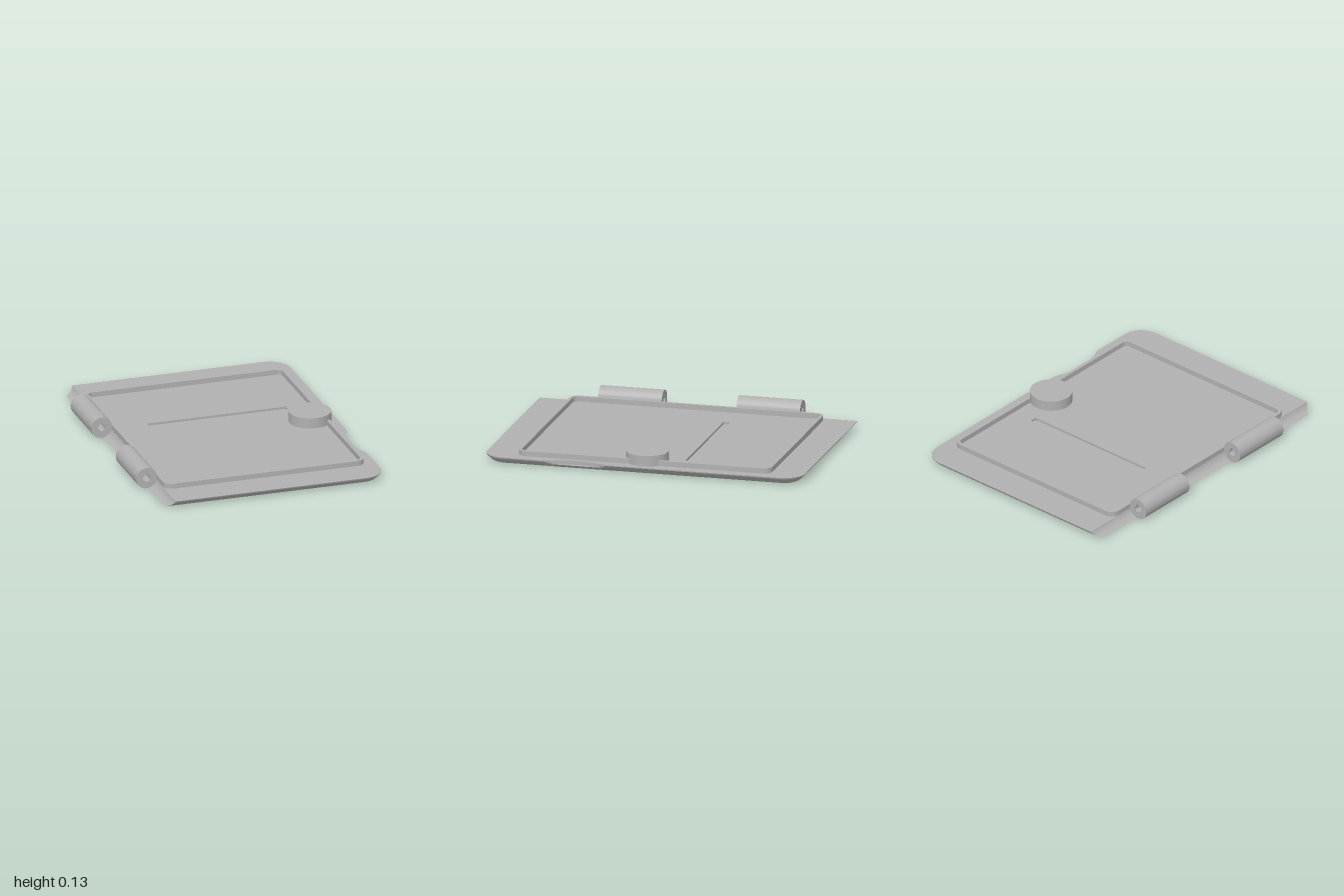
import * as THREE from 'three';
import { mergeGeometries, toCreasedNormals } from 'three/addons/utils/BufferGeometryUtils.js';

const TOP = 0.045, HINGE = { x: -0.675, y: 0.066, r: 0.066 };
const ring = (pts, y) => pts.map(([x, z]) => new THREE.Vector3(x, y, z));

// Wall between two matching closed loops; swap the loops to face inwards.
function band(low, up) {
  const v = [];
  low.forEach((a, i) => {
    const j = (i + 1) % low.length;
    for (const p of [a, up[i], up[j], a, up[j], low[j]]) v.push(p.x, p.y, p.z);
  });
  const g = new THREE.BufferGeometry();
  g.setAttribute('position', new THREE.Float32BufferAttribute(v, 3));
  g.computeVertexNormals();
  return g;
}

// Flat face at height y, facing up or down, with optional holes.
function cap(pts, y, up, holes = []) {
  const s = up ? -1 : 1;
  const to2 = (l) => l.map(([x, z]) => new THREE.Vector2(x, s * z));
  const shape = new THREE.Shape(to2(pts));
  holes.forEach((h) => shape.holes.push(new THREE.Path(to2(h))));
  const g = new THREE.ShapeGeometry(shape).rotateX(s * Math.PI / 2).translate(0, y, 0).toNonIndexed();
  g.deleteAttribute('uv');
  return g;
}

// Walls and floor of a groove sunk from height y0 to y1.
function recess(pts, y0, y1) {
  const a = ring(pts, y0), b = ring(pts, y1);
  return [y1 < y0 ? band(a, b) : band(b, a), cap(pts, y1, y1 < y0)];
}

// Plate outline at one height: inset rounds the lower edge, the left side hugs the hinge.
function outline(y, inset, notched) {
  const left = HINGE.x + Math.sqrt(0.067 ** 2 - (y - HINGE.y) ** 2);
  const r = 0.13 - inset, right = 0.74 - inset, pts = [[left, inset - 1]];
  const corner = (z, from) => {
    for (let i = 0; i <= 12; i++) {
      const a = from + (i / 12) * Math.PI / 2;
      pts.push([0.61 + r * Math.cos(a), z + r * Math.sin(a)]);
    }
  };
  corner(-0.87, -Math.PI / 2);
  for (let i = 0; i <= 32; i++) {
    const z = 0.22 + 0.39 * i / 32;
    const cut = 1.143 - Math.sqrt(0.448 ** 2 - (z - 0.415) ** 2);
    pts.push([notched ? Math.min(right, cut) : right, z]);
  }
  corner(0.87, 0);
  pts.push([left, 1 - inset]);
  return pts;
}

const rect = (x0, x1, z0, z1) => [[x0, z0], [x1, z0], [x1, z1], [x0, z1]];

// Concentric groove outlines around the knob, kept inside the plate's underside.
function arcGrooves() {
  const cx = 0.58, out = [];
  const inside = (x, z) => x > -0.03 && Math.hypot(Math.max(0, x - 0.6), Math.max(0, z - 0.87)) < 0.06;
  const strip = (r, a0, a1) => {
    const inner = [], outer = [], n = 40;
    for (let i = 0; i <= n; i++) {
      const a = a0 + (a1 - a0) * i / n, c = Math.cos(a), s = Math.sin(a);
      outer.push([cx + (r + 0.015) * c, (r + 0.015) * s]);
      inner.unshift([cx + (r - 0.015) * c, (r - 0.015) * s]);
    }
    out.push([...outer, ...inner]);
  };
  for (let k = 0; k < 10; k++) {
    const r = 0.14 + 0.1 * k, ok = [];
    for (let i = 0; i <= 720; i++) {
      const a = Math.PI * i / 720;
      if (inside(cx + r * Math.cos(a), r * Math.sin(a))) ok.push(a);
    }
    const a0 = ok[0], a1 = ok[ok.length - 1];
    if (a1 > 3.14) strip(r, a0, 2 * Math.PI - a0);
    else {
      strip(r, a0, a1);
      strip(r, 2 * Math.PI - a1, 2 * Math.PI - a0);
    }
  }
  return out;
}

function roundedRect(C, x0, x1, z, r) {
  const s = new C();
  s.absarc(x1 - r, z - r, r, 0, Math.PI / 2);
  s.absarc(x0 + r, z - r, r, Math.PI / 2, Math.PI);
  s.absarc(x0 + r, r - z, r, Math.PI, 1.5 * Math.PI);
  s.absarc(x1 - r, r - z, r, 1.5 * Math.PI, 2 * Math.PI);
  s.closePath();
  return s;
}

export function createModel() {
  const group = new THREE.Group();
  const grey = new THREE.MeshStandardMaterial({ color: 0xb0b0b0 });
  grey.name = 'grey plastic';
  const add = (name, geo) => {
    const m = new THREE.Mesh(geo, grey);
    m.name = name;
    group.add(m);
    return m;
  };

  // Plate with rounded underside edge and a finger notch
  const rows = [[0, 0.05], [0.006, 0.037], [0.013, 0.027], [0.02, 0.02], [0.02, 0.02, true],
    [0.03, 0.009, true], [0.039, 0.001, true], [TOP, 0, true]];
  const loops = rows.map(([y, d, n]) => ring(outline(y, d, n), y));
  const sides = loops.slice(1).map((l, i) => band(loops[i], l));
  const slot = rect(-0.38, 0.51, -0.265, -0.22);
  const grooves = [...arcGrooves(), rect(-0.62, -0.07, -0.22, -0.19)];
  add('plateEdge', toCreasedNormals(mergeGeometries(sides), 0.6));
  add('plateTop', cap(outline(TOP, 0, true), TOP, true, [slot]));
  add('plateUnderside', cap(outline(0, 0.05), 0, false, grooves));
  add('topSlot', mergeGeometries(recess(slot, TOP, 0.03)));
  add('undersideGrooves', mergeGeometries(grooves.flatMap((g) => recess(g, 0, 0.014))));

  // Raised rim
  const rimShape = roundedRect(THREE.Shape, -0.61, 0.672, 0.797, 0.055);
  rimShape.holes.push(roundedRect(THREE.Path, -0.59, 0.652, 0.777, 0.035));
  const rim = new THREE.ExtrudeGeometry(rimShape, { depth: 0.034, bevelEnabled: false, curveSegments: 10 });
  add('rim', toCreasedNormals(rim.rotateX(-Math.PI / 2).translate(0, 0.043, 0), 0.6));

  // Round knob
  const knob = add('knob', new THREE.CylinderGeometry(0.13, 0.13, 0.07, 64));
  knob.position.set(0.578, 0.076, 0);

  // Two hinge barrels with teardrop pin holes
  const barrel = new THREE.Shape().absarc(0, 0, HINGE.r, 0, Math.PI * 2);
  const pin = new THREE.Path().absarc(0, 0, 0.023, Math.PI * 0.8, Math.PI * 2.2);
  pin.lineTo(0, 0.034);
  pin.closePath();
  barrel.holes.push(pin);
  const hinge = toCreasedNormals(
    new THREE.ExtrudeGeometry(barrel, { depth: 0.4, bevelEnabled: false, curveSegments: 32 }), 0.6);
  [['backHinge', -0.638], ['frontHinge', 0.232]].forEach(([name, z]) =>
    add(name, hinge).position.set(HINGE.x, HINGE.y, z));

  return group;
}
